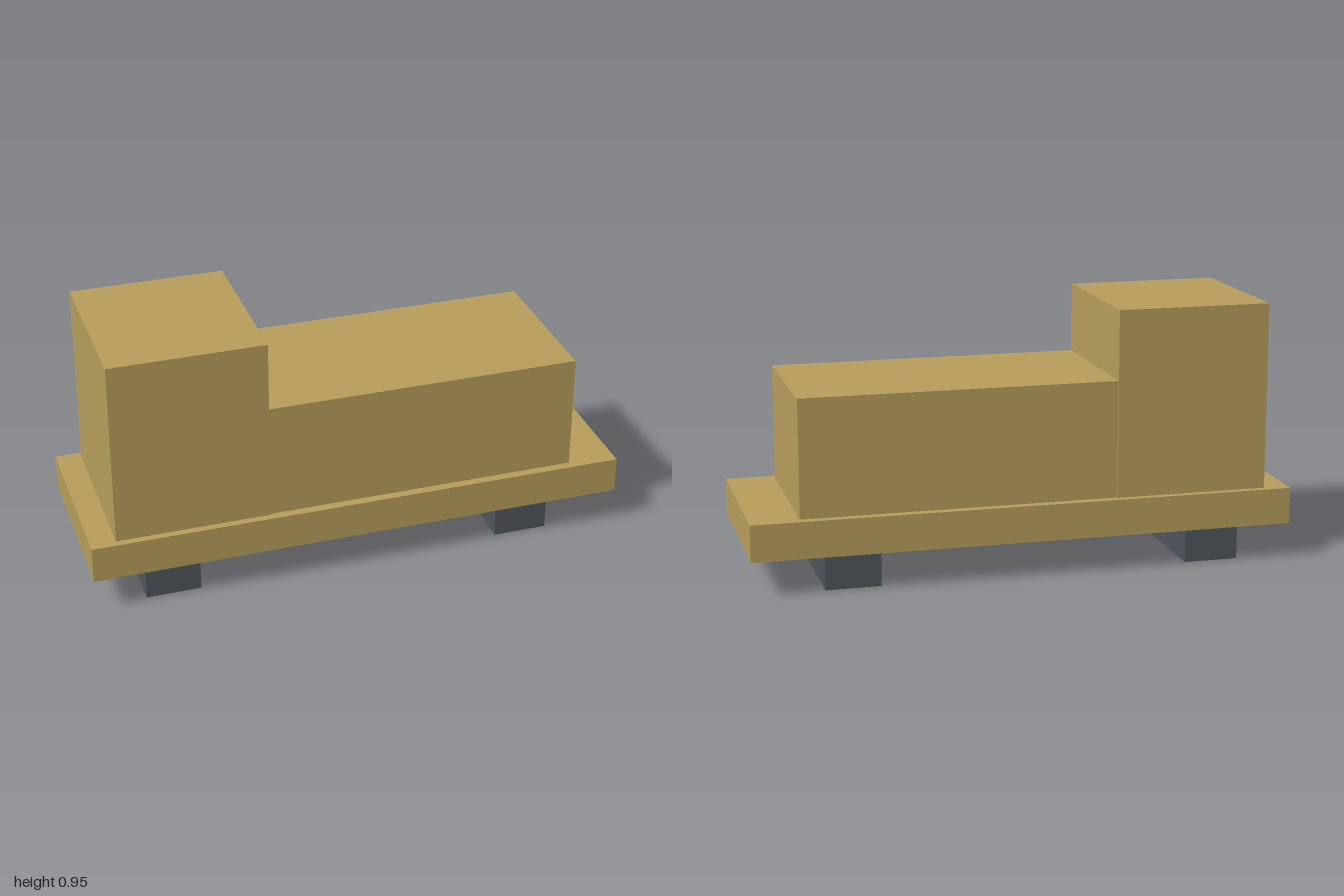
import * as THREE from 'three';

export function createModel() {
  const model = new THREE.Group();
  const tan = new THREE.MeshStandardMaterial({ color: 0xb59d5b });
  tan.name = 'tan paint';
  const grey = new THREE.MeshStandardMaterial({ color: 0x4e565c });
  grey.name = 'dark grey';

  // Box from its x range, y range and full depth
  function addBox(name, x0, x1, y0, y1, depth, material) {
    const mesh = new THREE.Mesh(new THREE.BoxGeometry(x1 - x0, y1 - y0, depth), material);
    mesh.position.set((x0 + x1) / 2, (y0 + y1) / 2, 0.001);
    mesh.name = name;
    model.add(mesh);
  }

  // Flat running deck
  addBox('deck', -1, 1, 0.13, 0.265, 0.66, tan);
  // Tall cab and the lower, slightly narrower hood beside it
  addBox('cab', -0.907, -0.34, 0.265, 0.955, 0.606, tan);
  addBox('hood', -0.34, 0.82, 0.265, 0.697, 0.595, tan);
  // Wheel blocks under each end
  addBox('rightWheelBlock', -0.807, -0.605, 0, 0.13, 0.595, grey);
  addBox('leftWheelBlock', 0.533, 0.735, 0, 0.13, 0.595, grey);

  return model;
}
